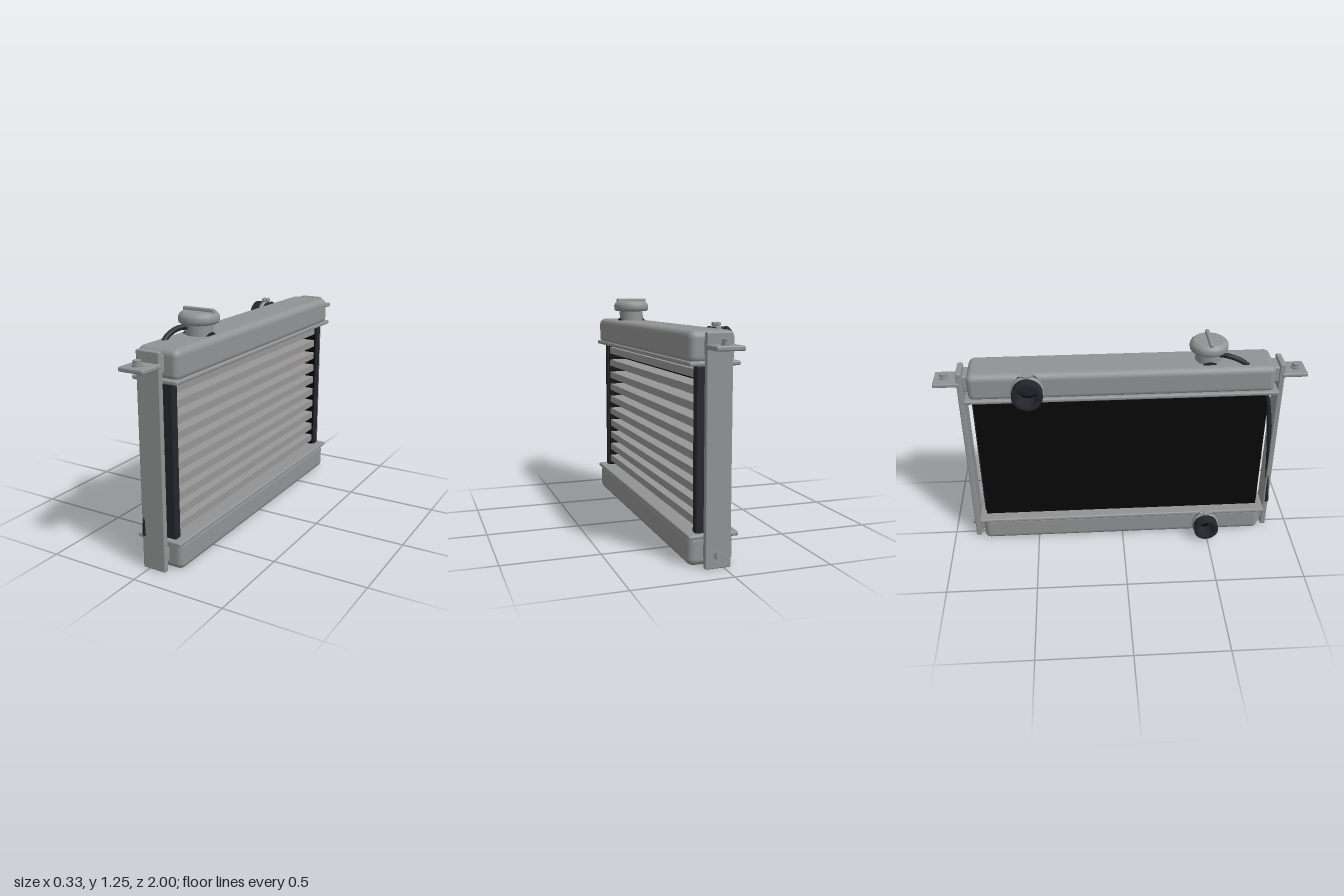
import * as THREE from 'three';
import { RoundedBoxGeometry } from 'three/addons/geometries/RoundedBoxGeometry.js';

const mat = (name, color) => {
  const m = new THREE.MeshStandardMaterial({ color });
  m.name = name;
  return m;
};

export function createModel() {
  const model = new THREE.Group();
  model.name = 'radiator';
  const metal = mat('grey metal', 0x929394);
  const finMetal = mat('fin metal', 0x989697);
  const rubber = mat('dark rubber', 0x25262d);
  const black = mat('black core', 0x070707);

  const add = (name, geo, m, x = 0, y = 0, z = 0, parent = model) => {
    const mesh = new THREE.Mesh(geo, m);
    mesh.name = name;
    mesh.position.set(x, y, z);
    parent.add(mesh);
    return mesh;
  };
  // box given by its extents, with optional rounded edges
  const box = (name, m, x0, x1, y0, y1, z0, z1, r = 0, parent = model) => {
    const s = [x1 - x0, y1 - y0, z1 - z0];
    const geo = r ? new RoundedBoxGeometry(...s, 3, r) : new THREE.BoxGeometry(...s);
    return add(name, geo, m, (x0 + x1) / 2, (y0 + y1) / 2, (z0 + z1) / 2, parent);
  };
  const lathe = (pts, n = 40) =>
    new THREE.LatheGeometry(pts.map(p => new THREE.Vector2(...p)), n);

  // header tanks and their flanges
  box('topTank', metal, -0.075, 0.16, 0.965, 1.12, -0.82, 0.82, 0.035);
  box('bottomTank', metal, -0.075, 0.16, 0.005, 0.16, -0.82, 0.82, 0.035);
  box('topFlange', metal, -0.09, 0.165, 0.958, 0.98, -0.84, 0.84, 0.008);
  box('bottomFlange', metal, -0.09, 0.165, 0.143, 0.165, -0.84, 0.84, 0.008);

  // core: dark panel, side columns and slats
  box('corePanel', black, -0.03, 0.0, 0.16, 0.96, -0.8, 0.8);
  for (const s of [-1, 1]) {
    const c = box('coreColumn', rubber, 0, 0.12, 0.16, 0.96, -0.022, 0.022, 0.008);
    c.position.z = s * 0.79;
    box('columnEdge', black, 0, 0.108, 0.16, 0.96, s * 0.763 - 0.006, s * 0.763 + 0.006);
  }
  for (let i = 0; i < 10; i++) {
    const y = 0.209 + i * 0.0787;
    box('slat', finMetal, -0.005, 0.105, y - 0.02, y + 0.02, -0.757, 0.757);
  }

  // side plates, mounting tabs and bolts, one set at each end
  const bolt = (parent, x, y, z, rx = 0) => {
    const g = new THREE.Group();
    g.name = 'bolt';
    g.position.set(x, y, z);
    g.rotation.x = rx;
    add('washer', new THREE.CylinderGeometry(0.026, 0.026, 0.008, 24), metal, 0, 0.004, 0, g);
    add('hexHead', new THREE.CylinderGeometry(0.021, 0.022, 0.022, 6), metal, 0, 0.017, 0, g);
    parent.add(g);
  };
  for (const end of [0, 1]) {
    const g = new THREE.Group();
    g.name = end ? 'backMount' : 'frontMount';
    box('sidePlate', metal, -0.035, 0.095, 0.005, 1.115, 0.845, 0.875, 0.006, g);
    box('spacer', metal, -0.025, 0.085, 1.0, 1.095, 0.81, 0.85, 0.012, g);
    box('lowerSpacer', metal, -0.025, 0.085, 0.04, 0.12, 0.81, 0.85, 0.012, g);
    box('tab', metal, -0.04, 0.1, 1.037, 1.06, 0.86, 1.0, 0.007, g);
    bolt(g, 0.03, 1.06, 0.945);
    if (end) {
      // keep x as is and flip z: half turn about the plane x = 0.03
      g.rotation.y = Math.PI;
      g.position.x = 0.06;
      bolt(g, 0.03, 0.07, 0.868, Math.PI / 2);
    }
    model.add(g);
  }

  // filler neck and cap
  const filler = new THREE.Group();
  filler.name = 'filler';
  filler.position.set(0.047, 0, 0.467);
  model.add(filler);
  add('neck', new THREE.CylinderGeometry(0.07, 0.07, 0.09, 40), metal, 0, 1.14, 0, filler);
  const seat = add('neckSeal', new THREE.CylinderGeometry(0.05, 0.05, 0.148, 32), rubber, 0, 1.085, 0, filler);
  seat.rotation.z = Math.PI / 2;
  add('cap', lathe([[0, 1.176], [0.09, 1.176], [0.1, 1.182], [0.103, 1.195], [0.103, 1.21],
    [0.098, 1.222], [0.085, 1.233], [0.08, 1.235], [0, 1.236]]), metal, 0, 0, 0, filler);
  box('capGrip', metal, -0.09, 0.09, 1.228, 1.252, -0.011, 0.011, 0.007, filler);

  // overflow hose from the neck, down along the front side plate
  const path = new THREE.CatmullRomCurve3([
    [0.02, 1.16, 0.51], [-0.005, 1.162, 0.56], [-0.02, 1.14, 0.63], [-0.024, 1.1, 0.68],
    [-0.02, 0.95, 0.78], [-0.015, 0.75, 0.825], [-0.02, 0.45, 0.852], [-0.025, 0.18, 0.866],
  ].map(p => new THREE.Vector3(...p)));
  add('overflowHose', new THREE.TubeGeometry(path, 60, 0.014, 12), rubber);

  // hose stubs with clamps on the -x side
  const hose = (name, y, z, r) => {
    const g = new THREE.Group();
    g.name = name;
    g.position.set(0, y, z);
    model.add(g);
    const ri = r * 0.68;
    const tube = add('stub', lathe([[ri, 0.06], [ri, 0.165], [ri + 0.004, 0.17], [r - 0.004, 0.17],
      [r, 0.165], [r * 0.97, 0.085], [r * 0.85, 0.055]].reverse()), rubber, 0, 0, 0, g);
    tube.rotation.z = Math.PI / 2;
    const bore = add('boreEnd', new THREE.CircleGeometry(r * 0.75, 32), black, -0.08, 0, 0, g);
    bore.rotation.y = -Math.PI / 2;
    const band = add('clamp', lathe([[r * 0.9, 0.095], [r + 0.007, 0.095], [r + 0.007, 0.115],
      [r * 0.9, 0.115]]), metal, 0, 0, 0, g);
    band.rotation.z = Math.PI / 2;
    box('clampLug', metal, -0.125, -0.085, r + 0.003, r + 0.022, -0.018, 0.018, 0.005, g);
    const screw = add('clampScrew', new THREE.CylinderGeometry(0.009, 0.009, 0.07, 12), metal, -0.105, r + 0.011, 0, g);
    screw.rotation.x = Math.PI / 2;
  };
  hose('upperHose', 1.04, -0.5, 0.082);
  hose('lowerHose', 0.087, 0.49, 0.071);
  // rubber collar where the upper hose meets the tank
  const collar = add('upperCollar', new THREE.SphereGeometry(0.07, 32, 16), rubber, -0.07, 1.055, -0.5);
  collar.scale.x = 0.3;

  return model;
}
